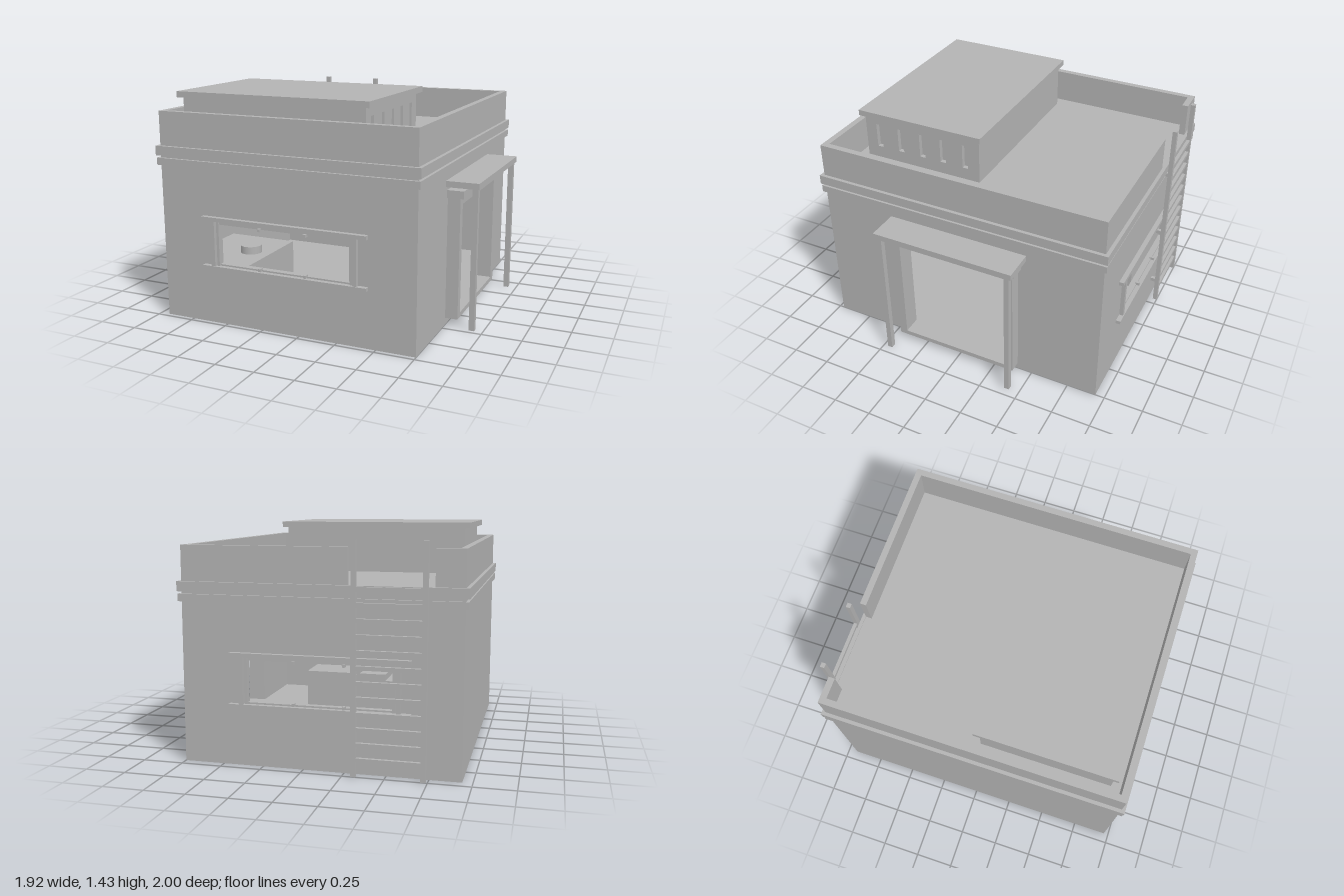
import * as THREE from 'three';

const paint = new THREE.MeshStandardMaterial({ color: 0xb3b3b3 });
paint.name = 'plain grey';

export function createModel() {
  const model = new THREE.Group();
  model.name = 'house';

  const add = (name, geometry, parent = model) => {
    const mesh = new THREE.Mesh(geometry, paint);
    mesh.name = name;
    parent.add(mesh);
    return mesh;
  };
  // Box given by its limits on each axis
  const box = (name, x0, x1, y0, y1, z0, z1, parent) => {
    const mesh = add(name, new THREE.BoxGeometry(x1 - x0, y1 - y0, z1 - z0), parent);
    mesh.position.set((x0 + x1) / 2, (y0 + y1) / 2, (z0 + z1) / 2);
    return mesh;
  };
  const group = (name) => {
    const g = new THREE.Group();
    g.name = name;
    model.add(g);
    return g;
  };
  const rectangle = (x0, x1, y0, y1) => [[x0, y0], [x1, y0], [x1, y1], [x0, y1]].map(([x, y]) => new THREE.Vector2(x, y));
  // Panel with rectangular openings
  const panel = (name, outline, openings, depth, parent) => {
    const shape = new THREE.Shape(outline);
    openings.forEach((o) => shape.holes.push(new THREE.Path(rectangle(...o))));
    return add(name, new THREE.ExtrudeGeometry(shape, { depth, bevelEnabled: false }), parent);
  };

  // Main body limits
  const L = -0.94, R = 0.75, B = -0.94, F = 0.97, T = 0.04;
  const roofY = 1.1, topY = 1.32;
  const windowHole = [-0.54, 0.345, 0.39, 0.642];

  // Walls, with the parapet as their upper part
  panel('frontWall', rectangle(L, R, 0, topY), [windowHole], T).position.z = F - T;
  const backOutline = [
    [L, 0], [R, 0], [R, topY], [-0.267, topY], [-0.267, roofY], [-0.77, roofY], [-0.77, topY], [L, topY],
  ].map(([x, y]) => new THREE.Vector2(x, y));
  panel('backWall', backOutline, [windowHole], T).position.z = B;
  box('leftmostWall', L, L + T, 0, topY, B + T, F - T);
  const doorWall = panel('doorWall', rectangle(-(F - T), -(B + T), 0, topY), [[-0.387, 0.347, 0.075, 0.775]], T);
  doorWall.rotation.y = Math.PI / 2;
  doorWall.position.x = R - T;
  box('floor', L + T, R - T, 0, 0.075, B + T, F - T);
  box('roofDeck', L + T, R - T, 1.03, roofY, B + T, F - T);

  // Two cornice bands around the body
  [[0.985, 1.03, 0.018], [1.045, 1.105, 0.022]].forEach(([y0, y1, out]) => {
    const ring = panel('cornice', rectangle(L - out, R + out, -F - out, -B + out), [[L, R, -F, -B]], y1 - y0);
    ring.rotation.x = -Math.PI / 2;
    ring.position.y = y0;
  });

  // Roof room with five slots in its side
  const roofRoom = group('roofRoom');
  box('roofRoomBody', -0.825, 0.365, roofY, 1.397, 0.04, 0.868, roofRoom);
  const slots = [0.77, 0.61, 0.45, 0.3, 0.14].map((z) => [-z - 0.02, -z + 0.02, 1.18, 1.34]);
  const slotWall = panel('slottedWall', rectangle(-0.868, -0.04, roofY, 1.397), slots, 0.03, roofRoom);
  slotWall.rotation.y = Math.PI / 2;
  slotWall.position.x = 0.365;
  box('roofRoomSlab', -0.857, 0.428, 1.397, 1.435, 0.015, 0.892, roofRoom);

  // Window trim, front and back
  [['frontWindow', F, 1], ['backWindow', B, -1]].forEach(([name, wall, dir]) => {
    const g = group(name);
    const span = (a, b) => [wall + dir * a, wall + dir * b].sort((p, q) => p - q);
    box('windowLintel', -0.645, 0.452, 0.665, 0.69, ...span(0, 0.03), g);
    box('windowSill', -0.645, 0.452, 0.358, 0.38, ...span(0, 0.03), g);
    [[-0.585, -0.558], [0.363, 0.39]].forEach(([a, b]) => box('windowPost', a, b, 0.38, 0.665, ...span(0, 0.025), g));
    [[-0.552, -0.535], [0.34, 0.357]].forEach(([a, b]) => box('innerPost', a, b, 0.38, 0.665, ...span(-0.03, 0.01), g));
    [-0.25, 0.055].forEach((x) => [0.382, 0.632].forEach((y) =>
      box('windowClip', x - 0.008, x + 0.008, y, y + 0.018, ...span(-0.01, 0.02), g)));
  });

  // Door surround and porch
  const porch = group('porch');
  box('doorLintel', R, 0.855, 0.82, 0.868, -0.42, 0.455, porch);
  box('doorHead', R, 0.83, 0.775, 0.82, -0.4, 0.437, porch);
  box('doorThreshold', R, 0.83, 0.045, 0.075, -0.4, 0.437, porch);
  [[0.387, 0.437], [-0.4, -0.347]].forEach(([a, b]) => box('doorJamb', R, 0.83, 0.075, 0.775, a, b, porch));
  box('canopy', R, 0.957, 0.892, 0.93, -0.452, 0.484, porch);
  [[0.437, 0.47], [-0.432, -0.4]].forEach(([a, b]) => box('porchPost', 0.912, 0.947, 0, 0.892, a, b, porch));

  // Ladder on the back wall
  const ladder = group('ladder');
  [-0.724, -0.316].forEach((x) => {
    box('ladderRail', x - 0.015, x + 0.015, 0, 1.365, -1, -0.972, ladder);
    [0.165, 0.58, 1.04].forEach((y) => box('ladderBracket', x - 0.012, x + 0.012, y - 0.012, y + 0.012, -0.972, B, ladder));
  });
  for (let i = 0; i < 12; i++) {
    const y = 0.1 + i * 0.09;
    box('ladderRung', -0.709, -0.331, y - 0.012, y + 0.012, -0.997, -0.975, ladder);
  }

  // Furniture inside
  const room = group('furniture');
  box('lowTable', -0.9, -0.42, 0.075, 0.35, 0.24, 0.93, room);
  const pot = add('pot', new THREE.CylinderGeometry(0.07, 0.07, 0.05, 20), room);
  pot.position.set(-0.56, 0.375, 0.56);
  box('backCounter', -0.48, -0.015, 0.075, 0.587, -0.88, -0.6, room);
  box('sideCabinet', -0.9, -0.48, 0.075, 0.55, -0.88, -0.6, room);
  box('shelf', -0.9, -0.3, 0.62, 0.64, -0.88, -0.72, room);
  box('shelfPost', -0.33, -0.3, 0.587, 0.62, -0.88, -0.72, room);
  box('bench', -0.015, 0.43, 0.075, 0.287, -0.9, -0.63, room);

  return model;
}
